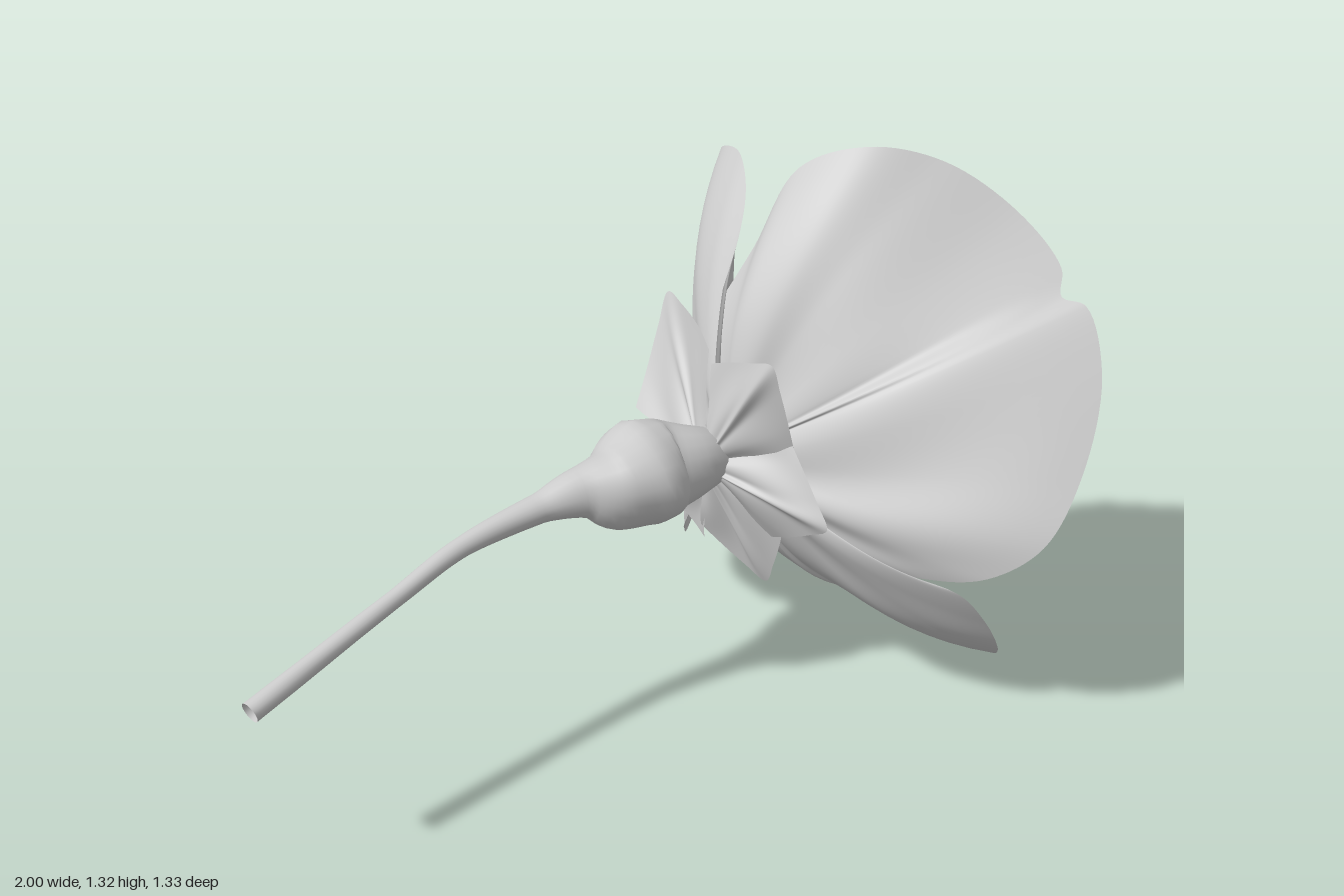
import * as THREE from 'three';
import { mergeVertices } from 'three/addons/utils/BufferGeometryUtils.js';

const grey = new THREE.MeshStandardMaterial({ color: 0xcccccc, side: THREE.DoubleSide });
const yellow = new THREE.MeshStandardMaterial({ color: 0xc8c820 });
const V = (p) => new THREE.Vector3(...p);
const lerp = THREE.MathUtils.lerp;

// Thin leaf surface: a fan from a base point out to a smooth rim.
// flare(t, e) says how much of the rim's x offset is reached at fraction t,
// where e runs from 0 at the midrib to -1 and 1 at the side edges;
// rib is the rim index carrying the midrib crease.
function leaf(name, base, rim, flare, rib, wave) {
  const per = 8, rows = 18;
  const cols = (rim.length - 1) * per;
  const curve = new THREE.CatmullRomCurve3(rim.map(V));
  const pos = [], idx = [];
  for (let i = 0; i <= cols; i++) {
    const r = curve.getPoint(i / cols);
    const d = i / per - rib;
    const e = d / (d < 0 ? rib : rim.length - 1 - rib);
    for (let j = 0; j <= rows; j++) {
      const t = 0.03 + 0.97 * j / rows;
      const swell = Math.sin(Math.PI * t);
      const crease = -0.014 * Math.exp(-d * d * 5) * swell;
      const ripple = wave * swell * Math.sin(d * 1.9 + t * 4);
      pos.push(
        base[0] + (r.x - base[0]) * flare(t, e) + crease + ripple,
        base[1] + (r.y - base[1]) * t,
        base[2] + (r.z - base[2]) * t);
      if (i < cols && j < rows) {
        const a = i * (rows + 1) + j, b = a + rows + 1;
        idx.push(a, a + 1, b, b, a + 1, b + 1);
      }
    }
  }
  const g = new THREE.BufferGeometry();
  g.setAttribute('position', new THREE.Float32BufferAttribute(pos, 3));
  g.setIndex(idx);
  g.computeVertexNormals();
  const m = new THREE.Mesh(g, grey);
  m.name = name;
  return m;
}

// Stem swelling into the bulb: a tube with a varying radius
function stem() {
  // x, y, z, radius
  const st = [
    [-1, 0.457, -0.38, 0.025], [-0.6, 0.55, -0.355, 0.021], [-0.4, 0.6, -0.335, 0.024],
    [-0.2, 0.63, -0.28, 0.036], [-0.1, 0.64, -0.245, 0.062], [-0.03, 0.632, -0.215, 0.102],
    [0.05, 0.635, -0.195, 0.13], [0.12, 0.632, -0.185, 0.115], [0.18, 0.635, -0.15, 0.09],
    [0.24, 0.63, -0.13, 0.07]];
  const path = new THREE.CatmullRomCurve3(st.map((s) => V(s.slice(0, 3))));
  const radius = (x) => {
    let k = 0;
    while (k < st.length - 2 && x > st[k + 1][0]) k++;
    const f = THREE.MathUtils.clamp((x - st[k][0]) / (st[k + 1][0] - st[k][0]), 0, 1);
    return lerp(st[k][3], st[k + 1][3], f);
  };
  const N = 90, S = 20;
  let g = new THREE.TubeGeometry(path, N, 1, S, false);
  const p = g.attributes.position, v = new THREE.Vector3();
  for (let i = 0; i <= N; i++) {
    const c = path.getPointAt(i / N);
    const r = radius(c.x);
    for (let j = 0; j <= S; j++) {
      const a = j / S * Math.PI * 2;
      // soft lumps where the bulb is thick
      const lump = 1 + 0.4 * r * Math.sin(3 * a + c.x * 25);
      v.fromBufferAttribute(p, i * (S + 1) + j).sub(c).multiplyScalar(r * lump).add(c);
      p.setXYZ(i * (S + 1) + j, v.x, v.y, v.z);
    }
  }
  g.deleteAttribute('uv');
  g.deleteAttribute('normal');
  g = mergeVertices(g);
  g.computeVertexNormals();
  const m = new THREE.Mesh(g, grey);
  m.name = 'stemAndBulb';
  return m;
}

export function createModel() {
  const flower = new THREE.Group();
  flower.name = 'flower';
  flower.add(stem());

  // Petals: rims run from one side edge, over the notched tip, to the other
  const heart = [0.27, 0.62, -0.12];
  const upper = [
    [0.41, 0.95, -0.24], [0.48, 1.07, -0.2], [0.58, 1.25, -0.15], [0.65, 1.32, 0],
    [0.75, 1.29, 0.15], [0.81, 1.19, 0.32], [0.8, 1.09, 0.45], [0.76, 1.04, 0.48],
    [0.77, 1.03, 0.54], [0.71, 0.9, 0.63], [0.59, 0.71, 0.67], [0.48, 0.56, 0.65],
    [0.41, 0.47, 0.55], [0.37, 0.43, 0.4], [0.34, 0.43, 0.22]];
  const lower = [
    [0.36, 0.43, 0.36], [0.42, 0.39, 0.47], [0.49, 0.29, 0.51], [0.56, 0.18, 0.51],
    [0.65, 0.09, 0.44], [0.79, 0.05, 0.27], [0.89, 0.015, 0.11], [0.85, 0.035, 0.075],
    [0.92, 0.0, 0.05], [0.93, 0.01, -0.1], [0.88, 0.04, -0.33], [0.79, 0.13, -0.46],
    [0.69, 0.27, -0.52], [0.59, 0.38, -0.48], [0.48, 0.5, -0.41], [0.41, 0.53, -0.3]];
  const rear = [
    [0.4, 0.98, -0.23], [0.5, 1.08, -0.26], [0.6, 1.15, -0.32], [0.7, 1.19, -0.42],
    [0.78, 1.15, -0.54], [0.87, 1.05, -0.6], [0.96, 0.88, -0.63], [0.99, 0.72, -0.66],
    [0.97, 0.68, -0.645], [0.99, 0.65, -0.66], [0.97, 0.46, -0.65], [0.88, 0.26, -0.63],
    [0.73, 0.16, -0.56], [0.52, 0.17, -0.44], [0.36, 0.3, -0.32]];
  const bowl = (t) => 0.45 * t + 0.55 * t ** 3;
  const deepBowl = (t, e) => lerp(0.36 * t + 0.64 * t ** 4, t, Math.max(0, e) ** 2);
  flower.add(
    leaf('upperPetal', heart, upper, bowl, 7, 0.008),
    leaf('lowerPetal', heart, lower, deepBowl, 7, 0.008),
    leaf('rearPetal', heart, rear, bowl, 8, 0.008));

  // Calyx: five broad sepals, joined low down, around the top of the bulb
  const calyx = new THREE.Group();
  calyx.name = 'calyx';
  const cup = [0.2, 0.62, -0.13];
  const tips = [
    [0.42, 0.91, -0.42], [0.23, 0.93, 0.05], [0.23, 0.56, 0.22],
    [0.29, 0.3, 0.0], [0.4, 0.36, -0.42]];
  for (const tip of tips) {
    const dy = tip[1] - cup[1], dz = tip[2] - cup[2];
    const ang = Math.atan2(dy, dz), len = Math.hypot(dy, dz);
    const at = (turn, f) => [
      lerp(tip[0], 0.27, Math.abs(turn) / 0.65),
      cup[1] + Math.sin(ang + turn) * len * f,
      cup[2] + Math.cos(ang + turn) * len * f];
    const rim = [at(-0.65, 0.66), at(-0.4, 0.74), at(-0.15, 0.88), tip,
      at(0.15, 0.88), at(0.4, 0.74), at(0.65, 0.66)];
    calyx.add(leaf('sepal', cup, rim, (t) => t, 3, 0.006));
  }
  flower.add(calyx);

  // Stamens: thin bent filaments carrying round anthers
  const anthers = [
    [0.5, 0.66, -0.085], [0.53, 0.64, -0.15], [0.575, 0.6, -0.19], [0.53, 0.555, -0.13],
    [0.51, 0.51, -0.09], [0.53, 0.622, -0.03], [0.5, 0.59, -0.05]];
  const ball = new THREE.SphereGeometry(0.018, 16, 12);
  for (const a of anthers) {
    const s = new THREE.Group();
    s.name = 'stamen';
    const mid = [0.41, lerp(0.62, a[1], 0.35) + 0.01, lerp(-0.12, a[2], 0.35)];
    const path = new THREE.CatmullRomCurve3([V(heart), V(mid), V(a)]);
    const filament = new THREE.Mesh(new THREE.TubeGeometry(path, 12, 0.004, 6), grey);
    filament.name = 'filament';
    const anther = new THREE.Mesh(ball, yellow);
    anther.name = 'anther';
    anther.position.set(...a);
    s.add(filament, anther);
    flower.add(s);
  }
  return flower;
}
